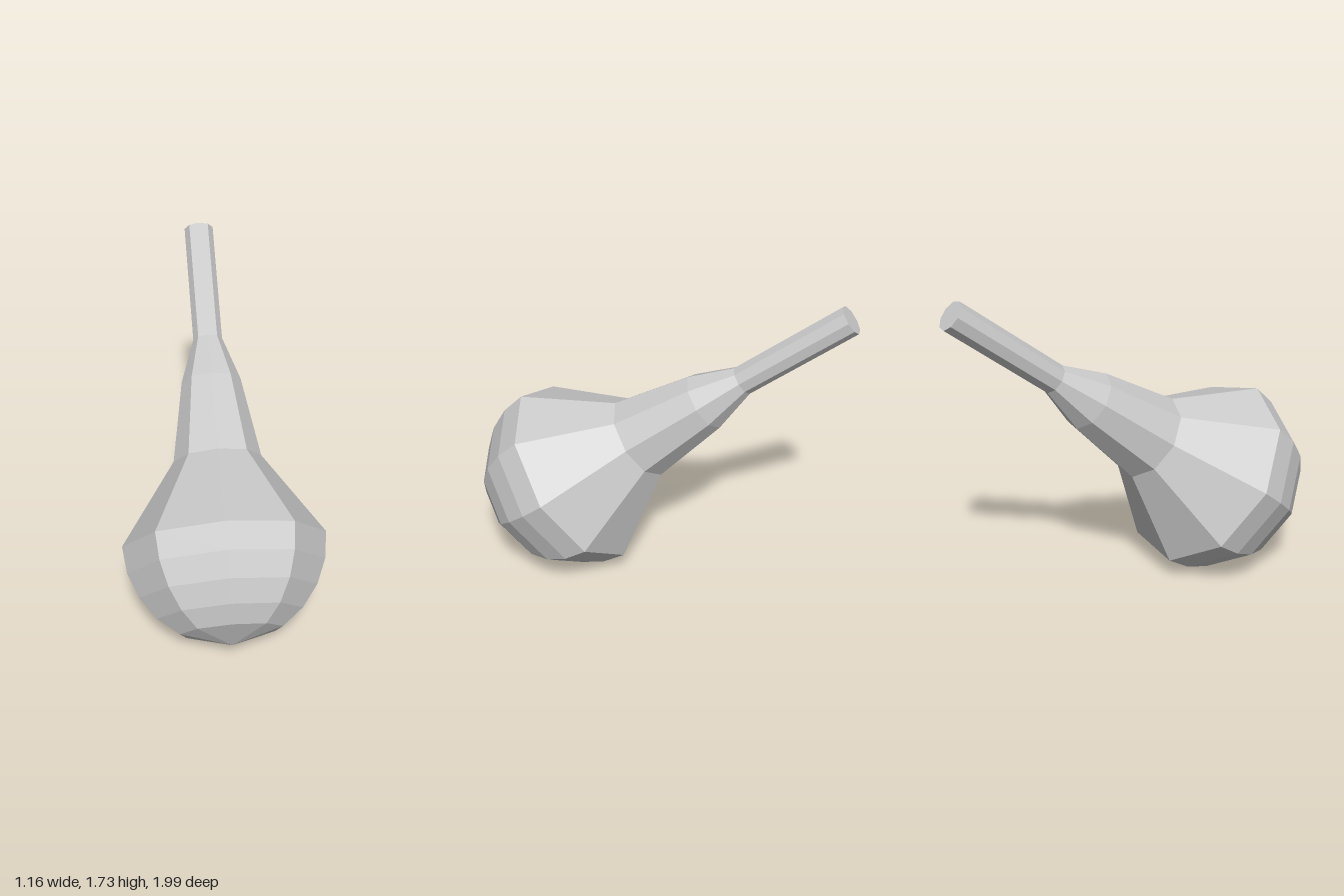
import * as THREE from 'three';

const SIDES = 9;
const R = 0.557; // bulb radius

export function createModel() {
  const model = new THREE.Group();
  model.name = 'bulbWithHandle';
  const material = new THREE.MeshStandardMaterial({ color: 0xcccccc, flatShading: true });

  // Tilted frame: local y runs from the bulb's pole to the handle's tip
  const body = new THREE.Group();
  body.name = 'body';
  const axis = new THREE.Vector3(-0.285, 0.606, -0.743).normalize();
  const side = new THREE.Vector3().crossVectors(axis, new THREE.Vector3(0.18, 0.79, 0.58)).normalize();
  const up = new THREE.Vector3().crossVectors(side, axis);
  body.quaternion.setFromRotationMatrix(new THREE.Matrix4().makeBasis(side, axis, up));
  body.position.set(0.18, 0.2, 0.86);
  model.add(body);

  // One nine-sided turned part from [radius, height] pairs
  const turn = (name, profile) => {
    const points = profile.map(([r, h]) => new THREE.Vector2(r, h));
    const mesh = new THREE.Mesh(new THREE.LatheGeometry(points, SIDES), material);
    mesh.name = name;
    body.add(mesh);
  };

  // Faceted hemisphere: a fan at the pole, then rings every 15 degrees
  const dome = [0, 30, 45, 60, 75, 90].map((deg) => {
    const a = THREE.MathUtils.degToRad(deg);
    return [R * Math.sin(a), R * (1 - Math.cos(a))];
  });
  turn('bulb', dome);

  // Shoulder and neck narrowing towards the handle
  turn('neck', [[R, R], [0.245, 1.02], [0.168, 1.477], [0.083, 1.731]]);

  // Straight handle with a flat end
  turn('handle', [[0.083, 1.731], [0.083, 2.42], [0, 2.42]]);

  return model;
}
